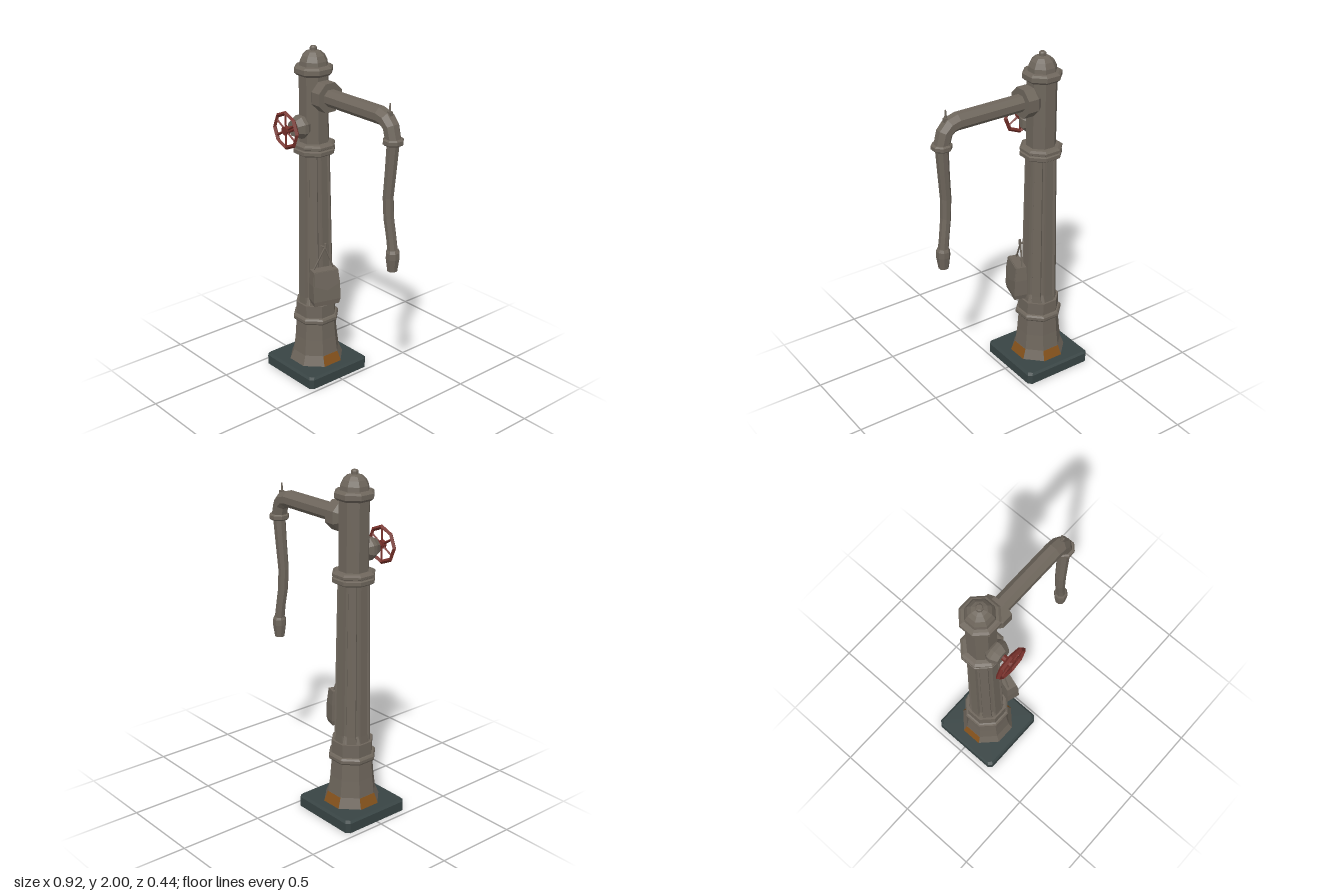
import * as THREE from 'three';

const iron = new THREE.MeshStandardMaterial({ color: 0x6e665c, flatShading: true });
iron.name = 'weathered iron';
const slate = new THREE.MeshStandardMaterial({ color: 0x384444, flatShading: true });
slate.name = 'dark slate';
const rust = new THREE.MeshStandardMaterial({ color: 0x85521c, flatShading: true });
rust.name = 'rust';
const red = new THREE.MeshStandardMaterial({ color: 0x76302a, flatShading: true });
red.name = 'faded red';

const AXIS = -0.245;            // x of the column
const EDGE = Math.cos(Math.PI / 8); // flat-to-corner ratio of an octagon
const V = (x, y, z) => new THREE.Vector3(x, y, z);

function add(parent, name, geometry, material, x = 0, y = 0, z = 0) {
  const mesh = new THREE.Mesh(geometry, material);
  mesh.name = name;
  mesh.position.set(x, y, z);
  parent.add(mesh);
  return mesh;
}

// Skin a list of equal-length rings and cap both ends
function loft(rings) {
  const pos = [];
  const tri = (...p) => p.forEach(v => pos.push(v.x, v.y, v.z));
  const n = rings[0].length;
  const mid = ring => ring.reduce((s, p) => s.add(p), V(0, 0, 0)).divideScalar(n);
  const first = rings[0], last = rings[rings.length - 1];
  const c0 = mid(first), c1 = mid(last);
  for (let i = 0; i < n; i++) {
    const j = (i + 1) % n;
    for (let k = 0; k < rings.length - 1; k++) {
      const a = rings[k], b = rings[k + 1];
      tri(a[i], a[j], b[i]);
      tri(a[j], b[j], b[i]);
    }
    tri(c0, first[j], first[i]);
    tri(c1, last[i], last[j]);
  }
  const g = new THREE.BufferGeometry();
  g.setAttribute('position', new THREE.Float32BufferAttribute(pos, 3));
  g.computeVertexNormals();
  return g;
}

// Octagonal pipe along [x, y, z, half width] stations
function pipe(stations) {
  const at = i => V(...stations[Math.min(Math.max(i, 0), stations.length - 1)].slice(0, 3));
  return loft(stations.map((s, i) => {
    const t = at(i + 1).sub(at(i - 1));
    t.z = 0;
    t.normalize();
    const u = V(0, 0, 1), v = t.clone().cross(u);
    return Array.from({ length: 8 }, (_, k) => {
      const a = (k + 0.5) * Math.PI / 4, r = s[3] / EDGE;
      return at(i).addScaledVector(u, r * Math.cos(a)).addScaledVector(v, r * Math.sin(a));
    });
  }));
}

// Octagonal turned part from [half width, y] points, flats facing the axes
function turned(profile, segments = 8, start = Math.PI / 8, sweep = Math.PI * 2) {
  const pts = profile.map(([r, y]) => new THREE.Vector2(r / EDGE, y));
  return new THREE.LatheGeometry(pts, segments, start, sweep);
}

// Thin round bar between two points
function bar(parent, name, a, b, r, material, sides = 5) {
  const d = b.clone().sub(a);
  const m = add(parent, name, new THREE.CylinderGeometry(r, r, d.length(), sides), material);
  m.position.copy(a).addScaledVector(d, 0.5);
  m.quaternion.setFromUnitVectors(V(0, 1, 0), d.normalize());
}

// Cut-corner square ring for the base plate
function plateRing(h, y) {
  const c = h - 0.02;
  return [[-c, h], [c, h], [h, c], [h, -c], [c, -h], [-c, -h], [-h, -c], [-h, c]]
    .map(([x, z]) => V(x, y, z));
}

// Octagon with a groove at each corner
function flutedRing(apothem, groove, y) {
  const ring = [];
  for (let f = 0; f < 8; f++) {
    for (const [deg, cut] of [[-14, 0], [14, 0], [18, 1], [27, 1]]) {
      const local = deg * Math.PI / 180, a = f * Math.PI / 4 + local;
      const off = deg > 22.5 ? local - Math.PI / 4 : local;
      const r = apothem / Math.cos(off) * (1 - cut * groove);
      ring.push(V(r * Math.sin(a), y, r * Math.cos(a)));
    }
  }
  return ring;
}

function buildColumn() {
  const g = new THREE.Group();
  g.name = 'column';
  add(g, 'basePlate', loft([plateRing(0.22, 0), plateRing(0.22, 0.058), plateRing(0.208, 0.07)]), slate);
  add(g, 'pedestal', turned([[0.153, 0.07], [0.131, 0.13], [0.12, 0.23], [0.113, 0.335], [0.122, 0.335],
    [0.129, 0.345], [0.129, 0.362], [0.122, 0.372], [0.113, 0.375], [0.113, 0.452], [0, 0.452]]), iron);
  // Rusty lower faces on both sides and the back
  for (const a of [Math.PI / 2, Math.PI, -Math.PI / 2]) {
    add(g, 'rustPatch', turned([[0.155, 0.07], [0.133, 0.13]], 1, a - Math.PI / 8, Math.PI / 4), rust);
  }
  add(g, 'flutedShaft', loft([flutedRing(0.102, 0.01, 0.45), flutedRing(0.1, 0.16, 0.495),
    flutedRing(0.086, 0.16, 1.4)]), iron);
  add(g, 'upperShaft', turned([[0, 1.385], [0.1, 1.385], [0.114, 1.395], [0.114, 1.415], [0.105, 1.42],
    [0.105, 1.425], [0.114, 1.43], [0.114, 1.442], [0.1, 1.452], [0.08, 1.455], [0.08, 1.84], [0.088, 1.842],
    [0.104, 1.857], [0.104, 1.883], [0.092, 1.893], [0.077, 1.896]]), iron);
  add(g, 'domeCap', turned([[0.077, 1.896], [0.074, 1.92], [0.06, 1.95], [0.04, 1.97], [0.019, 1.977],
    [0.019, 1.993], [0.013, 2], [0, 2]]), iron);
  g.position.x = AXIS;
  return g;
}

function buildSpout() {
  const g = new THREE.Group();
  g.name = 'spout';
  add(g, 'armFlange', pipe([[-0.215, 1.735, 0, 0.048], [-0.165, 1.735, 0, 0.082], [-0.1, 1.735, 0, 0.082]]), iron);
  add(g, 'arm', pipe([[-0.12, 1.735, 0, 0.046], [0.31, 1.735, 0, 0.046], [0.352, 1.724, 0, 0.045],
    [0.386, 1.69, 0, 0.043], [0.405, 1.62, 0, 0.041]]), iron);
  add(g, 'hoseCollar', turned([[0, 1.597], [0.046, 1.597], [0.054, 1.605], [0.054, 1.625], [0.046, 1.632],
    [0, 1.632]]), iron, 0.405);
  add(g, 'hose', pipe([[0.405, 1.61, 0, 0.034], [0.395, 1.45, 0.005, 0.031], [0.384, 1.3, 0.01, 0.029],
    [0.389, 1.18, 0.008, 0.028], [0.405, 1.07, 0.002, 0.027], [0.417, 0.98, 0, 0.028]]), iron);
  add(g, 'nozzle', pipe([[0.416, 1.0, 0, 0.03], [0.417, 0.985, 0, 0.037], [0.417, 0.95, 0, 0.037],
    [0.416, 0.875, 0, 0.027]]), iron);
  // Small pin on the elbow
  add(g, 'elbowPinBase', new THREE.BoxGeometry(0.022, 0.04, 0.022), iron, 0.378, 1.75, 0);
  add(g, 'elbowPin', new THREE.CylinderGeometry(0.005, 0.009, 0.05, 4), iron, 0.376, 1.79, 0);
  return g;
}

function buildValve() {
  const g = new THREE.Group();
  g.name = 'valve';
  const housing = turned([[0.045, 0.06], [0.063, 0.09], [0.063, 0.112], [0.045, 0.15], [0, 0.15]]);
  add(g, 'valveHousing', housing.rotateX(Math.PI / 2), iron);
  bar(g, 'valveStem', V(0, 0, 0.14), V(0, 0, 0.215), 0.018, red, 8);
  // Hand wheel
  add(g, 'wheelRim', new THREE.TorusGeometry(0.1, 0.0125, 4, 8), red, 0, 0, 0.202);
  for (let i = 0; i < 6; i++) {
    const a = Math.PI / 2 + i * Math.PI / 3;
    bar(g, 'wheelSpoke', V(0, 0, 0.202), V(0.095 * Math.cos(a), 0.095 * Math.sin(a), 0.202), 0.007, red, 4);
  }
  add(g, 'wheelHub', new THREE.CylinderGeometry(0.026, 0.026, 0.024, 8).rotateX(Math.PI / 2), red, 0, 0, 0.202);
  g.position.set(AXIS, 1.555, 0);
  return g;
}

function buildSatchel() {
  const g = new THREE.Group();
  g.name = 'satchel';
  const bag = new THREE.Group();
  bag.name = 'bag';
  bag.position.set(-0.113, 0.6, 0.042);
  bag.rotation.y = -0.3;
  // Wedge body, wider low down, with slightly bowed sides
  const section = (y, inner, outer, half) => [V(inner, y, half), V(outer, y, half), V(outer, y, -half), V(inner, y, -half)];
  add(bag, 'bagBody', loft([section(-0.11, -0.03, 0.038, 0.076), section(-0.08, -0.037, 0.042, 0.084),
    section(0.02, -0.037, 0.037, 0.084), section(0.105, -0.034, 0.024, 0.076)]), iron);
  // Pointed flap on the outer face
  const flap = new THREE.Shape([[-0.076, 0.1], [-0.08, 0.02], [0, -0.015], [0.08, 0.02], [0.076, 0.1]]
    .map(p => new THREE.Vector2(...p)));
  const plate = new THREE.ExtrudeGeometry(flap, { depth: 0.006, bevelEnabled: false });
  add(bag, 'bagFlap', plate.rotateY(Math.PI / 2).rotateZ(0.14), iron, 0.038, 0.003, 0);
  g.add(bag);
  // Peg and two straps
  const peg = V(-0.127, 0.835, 0.025);
  bar(g, 'peg', V(-0.19, 0.83, 0.02), V(-0.118, 0.835, 0.025), 0.007, iron);
  bar(g, 'pegTip', V(-0.122, 0.83, 0.025), V(-0.122, 0.862, 0.025), 0.007, iron);
  bar(g, 'strap', peg, V(-0.148, 0.7, 0.095), 0.005, iron, 4);
  bar(g, 'strap', peg, V(-0.105, 0.7, -0.022), 0.005, iron, 4);
  return g;
}

export function createModel() {
  const model = new THREE.Group();
  model.name = 'waterCrane';
  model.add(buildColumn(), buildSpout(), buildValve(), buildSatchel());
  return model;
}
